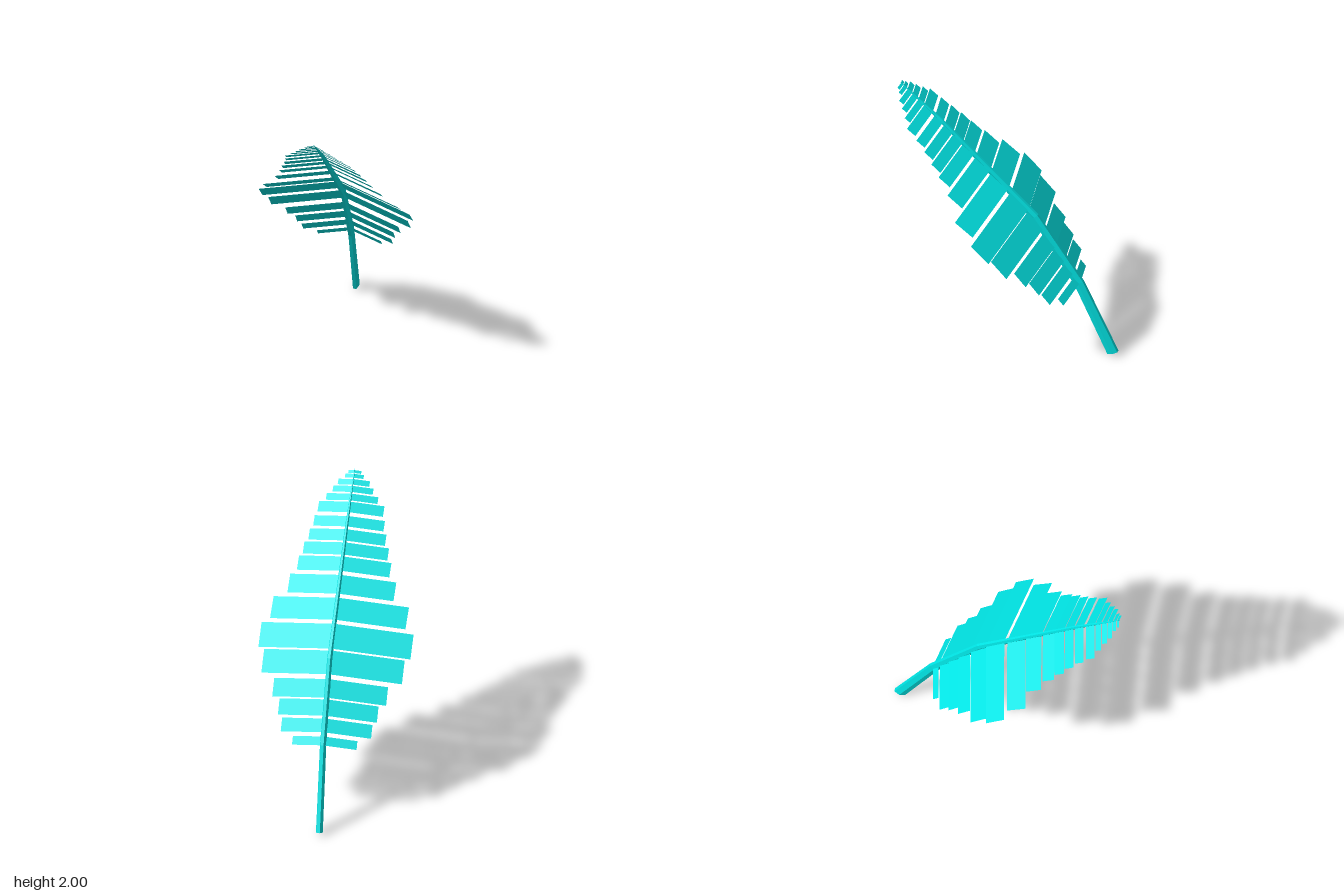
import * as THREE from 'three';

const material = new THREE.MeshStandardMaterial({ color: 0x00e6e6, flatShading: true, side: THREE.DoubleSide });
const V = (x, y, z) => new THREE.Vector3(x, y, z);

// Sideways axis of the slightly tilted frond
const across = V(1, -0.045, -0.023);

// Stem stations: point on the back edge, direction to the front, depth, width
const stations = [
  { back: V(-0.068, 0.033, -0.77), n: V(0, -0.39, 0.92), d: 0.08, w: 0.048 },
  { back: V(-0.036, 0.59, -0.53), n: V(0, -0.47, 0.88), d: 0.073, w: 0.044 },
  { back: V(-0.006, 1.09, -0.21), n: V(0, -0.63, 0.77), d: 0.056, w: 0.036 },
  { back: V(0.038, 1.75, 0.47), n: V(0, -0.745, 0.667), d: 0.028, w: 0.022 },
  { back: V(0.055, 2.0, 0.77), n: V(0, -0.77, 0.64), d: 0.004, w: 0.004 },
];

// Leaflet pairs: half span, lower and upper height at the stem, forward lean of the upper edge
const leaflets = [
  [0.225, 0.577, 0.624, 0.01], [0.315, 0.653, 0.726, 0.014], [0.345, 0.749, 0.836, 0.015],
  [0.397, 0.853, 0.951, 0.02], [0.49, 0.988, 1.11, 0.022], [0.53, 1.128, 1.25, 0],
  [0.472, 1.27, 1.367, 0.028], [0.37, 1.398, 1.483, 0.018], [0.322, 1.51, 1.575, 0.014],
  [0.295, 1.59, 1.647, 0.007], [0.267, 1.659, 1.712, 0.006], [0.245, 1.728, 1.775, 0.006],
  [0.228, 1.795, 1.842, 0.005], [0.18, 1.85, 1.88, 0.003], [0.14, 1.889, 1.916, 0.003],
  [0.11, 1.923, 1.948, 0.002], [0.065, 1.955, 1.973, 0], [0.045, 1.977, 1.99, 0],
];
const DROOP = 0.193;
const INSET = 0.008;

function meshFrom(points, index, name) {
  const geometry = new THREE.BufferGeometry().setFromPoints(points);
  geometry.setIndex(index);
  geometry.computeVertexNormals();
  const mesh = new THREE.Mesh(geometry, material);
  mesh.name = name;
  return mesh;
}

// Six-sided tapering stem, flat at the back and front
function makeStem() {
  const sides = 6, points = [], index = [];
  for (const { back, n, d, w } of stations) {
    const centre = back.clone().addScaledVector(n, d / 2);
    for (let j = 0; j < sides; j++) {
      const a = (j / sides) * Math.PI * 2;
      points.push(centre.clone()
        .addScaledVector(across, Math.cos(a) * w / 2)
        .addScaledVector(n, Math.sin(a) * d / 2 / 0.866));
    }
  }
  for (let i = 0; i < stations.length - 1; i++) {
    for (let j = 0; j < sides; j++) {
      const a = i * sides + j, b = i * sides + (j + 1) % sides;
      index.push(a, a + sides, b, b, a + sides, b + sides);
    }
  }
  // End caps
  const top = (stations.length - 1) * sides;
  for (let j = 1; j < sides - 1; j++) {
    index.push(0, j, j + 1, top, top + j + 1, top + j);
  }
  return meshFrom(points, index, 'stem');
}

// Line just inside the back of the stem where leaflets attach
const spine = stations.map(({ back, n, d }) => back.clone().addScaledVector(n, 0.22 * d));
function spineAt(y) {
  let i = 0;
  while (i < spine.length - 2 && y > spine[i + 1].y) i++;
  const t = (y - spine[i].y) / (spine[i + 1].y - spine[i].y);
  return spine[i].clone().lerp(spine[i + 1], t);
}

// Flat drooping strip on one side of the stem
function makeLeaflet([span, low, high, lean], side) {
  const a = spineAt(low).add(V(0, 0, INSET));
  const b = spineAt(high).add(V(0, 0, INSET + lean));
  const out = across.clone().multiplyScalar(side * span).add(V(0, -DROOP * span, DROOP * span));
  const corners = [a, a.clone().add(out), b.clone().add(out), b];
  const index = side > 0 ? [0, 2, 1, 0, 3, 2] : [0, 1, 2, 0, 2, 3];
  return meshFrom(corners, index, side > 0 ? 'leftLeaflet' : 'rightLeaflet');
}

export function createModel() {
  const group = new THREE.Group();
  group.name = 'palmFrond';
  group.add(makeStem());
  for (const leaflet of leaflets) {
    for (const side of [1, -1]) group.add(makeLeaflet(leaflet, side));
  }
  return group;
}
